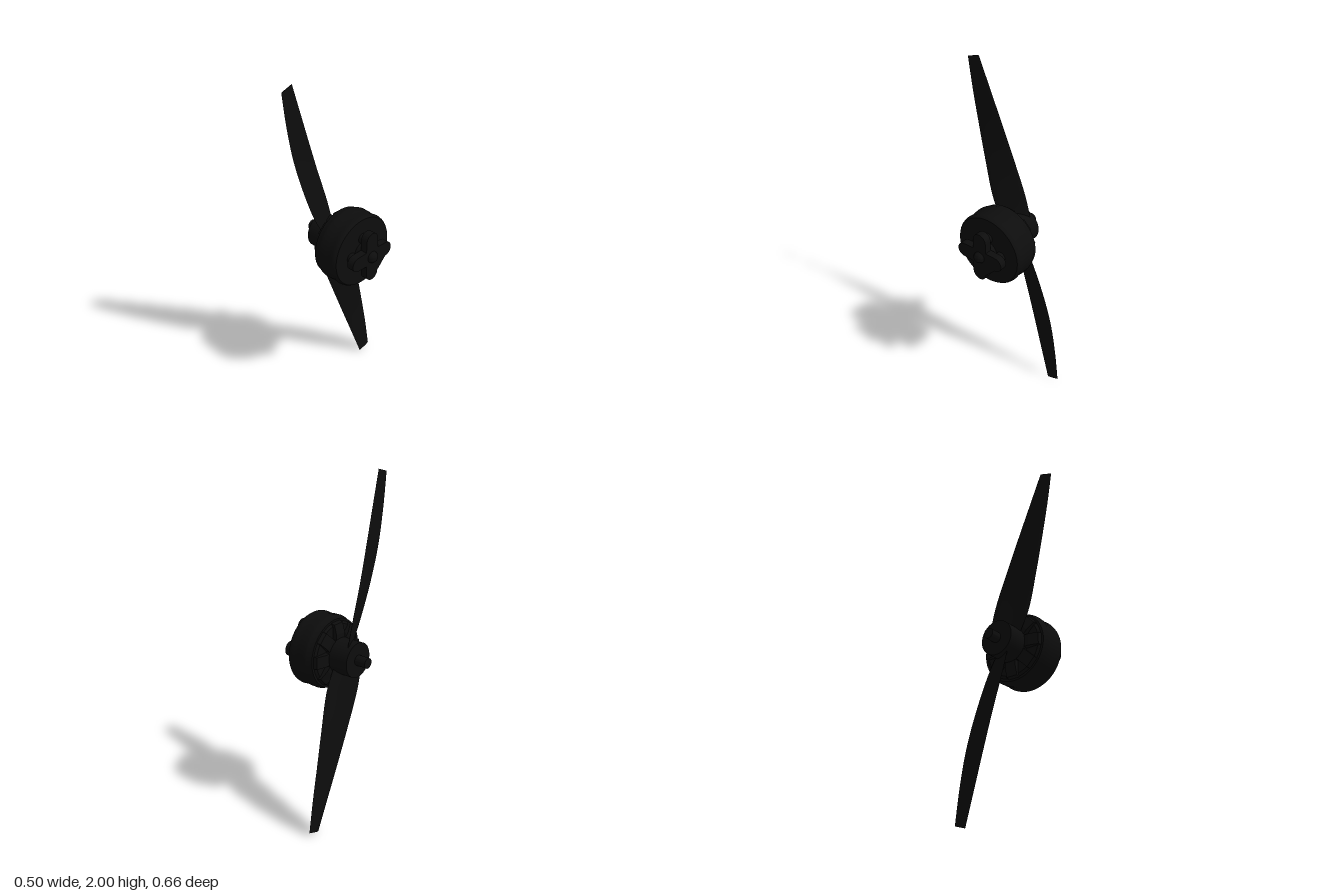
import * as THREE from 'three';
import { toCreasedNormals } from 'three/addons/utils/BufferGeometryUtils.js';

const black = new THREE.MeshStandardMaterial({ color: 0x0d0d0d });
black.name = 'matte black';

function add(parent, name, geometry) {
  const mesh = new THREE.Mesh(geometry, black);
  mesh.name = name;
  parent.add(mesh);
  return mesh;
}

// Solid of revolution about x, from [x, radius] pairs
function turned(profile, segments = 64) {
  const g = new THREE.LatheGeometry(profile.map(([x, r]) => new THREE.Vector2(r, x)), segments);
  g.rotateZ(-Math.PI / 2);
  return toCreasedNormals(g, 0.6);
}

// Twisted, tapering blade lofted between its two edge curves
function bladeGeometry() {
  const curve = pts => new THREE.CatmullRomCurve3(pts.map(p => new THREE.Vector3(...p)));
  const trailing = curve([[-0.155, 0.03, -0.07], [-0.156, 0.2, -0.025], [-0.148, 0.4, 0.045],
    [-0.135, 0.6, 0.115], [-0.12, 0.8, 0.185], [-0.105, 1.0, 0.255]]);
  const leading = curve([[-0.073, 0.03, 0.07], [-0.077, 0.165, 0.142], [-0.096, 0.39, 0.214],
    [-0.106, 0.58, 0.262], [-0.106, 0.78, 0.3], [-0.103, 0.977, 0.328]]);
  const span = new THREE.Vector3(0, 0.96, 0.28);
  const rows = 30, ring = 16, pos = [], index = [];
  for (let i = 0; i <= rows; i++) {
    const s = i / rows;
    const a = trailing.getPoint(s), b = leading.getPoint(s);
    const chord = b.clone().sub(a);
    const mid = a.add(b).multiplyScalar(0.5);
    const normal = chord.clone().cross(span).normalize();
    const half = THREE.MathUtils.lerp(0.009, 0.002, s);
    for (let j = 0; j < ring; j++) {
      const t = j / ring * Math.PI * 2;
      const p = mid.clone().addScaledVector(chord, Math.cos(t) / 2).addScaledVector(normal, Math.sin(t) * half);
      pos.push(p.x, p.y, p.z);
    }
  }
  for (let i = 0; i < rows; i++) for (let j = 0; j < ring; j++) {
    const k = (j + 1) % ring, o = i * ring, n = o + ring;
    index.push(o + j, n + j, o + k, o + k, n + j, n + k);
  }
  // Tip cap
  const tip = rows * ring;
  for (let j = 1; j < ring - 1; j++) index.push(tip, tip + j + 1, tip + j);
  const g = new THREE.BufferGeometry();
  g.setAttribute('position', new THREE.Float32BufferAttribute(pos, 3));
  g.setIndex(index);
  return toCreasedNormals(g, 0.8);
}

export function createModel() {
  const model = new THREE.Group();
  model.name = 'propellerMotor';
  const unit = new THREE.Group();
  unit.name = 'motorAssembly';
  unit.position.y = 1;
  model.add(unit);

  // Propeller
  add(unit, 'shaft', turned([[-0.25, 0], [-0.25, 0.03], [-0.17, 0.03]], 32));
  add(unit, 'propellerHub', turned([[-0.18, 0], [-0.18, 0.101], [-0.058, 0.101], [-0.02, 0.101]], 48));
  const blade = bladeGeometry();
  for (let i = 0; i < 2; i++) add(unit, 'blade', blade).rotation.x = i * Math.PI;

  // Motor bell with softly rippled side
  add(unit, 'motorBell', turned([[-0.03, 0], [-0.03, 0.172], [-0.02, 0.186], [-0.02, 0.2], [0, 0.204],
    [0.012, 0.21], [0.025, 0.213], [0.04, 0.211], [0.055, 0.212], [0.07, 0.21], [0.105, 0.21],
    [0.12, 0.213], [0.135, 0.21], [0.145, 0.203], [0.145, 0]]));

  // Raised spokes between the vents on the bell's face
  const outline = new THREE.Shape([[-0.018, 0.07], [-0.018, 0.188], [-0.042, 0.181], [-0.058, 0.125],
    [-0.058, 0.07]].map(p => new THREE.Vector2(...p)));
  const spoke = new THREE.ExtrudeGeometry(outline, { depth: 0.07, bevelEnabled: false });
  spoke.translate(0, 0, -0.035);
  for (let i = 0; i < 8; i++) add(unit, 'bellSpoke', spoke).rotation.x = i * Math.PI / 4;

  // Cross-shaped mount standing on four posts
  const cross = new THREE.Shape();
  for (let i = 0; i < 4; i++) {
    const a = i * Math.PI / 2, c = Math.cos(a), s = Math.sin(a);
    const corner = [0.045 * (c + s), 0.045 * (s - c)];
    if (i === 0) cross.moveTo(...corner); else cross.lineTo(...corner);
    cross.absarc(0.107 * c, 0.107 * s, 0.043, a - Math.PI / 2, a + Math.PI / 2, false);
  }
  cross.closePath();
  const mount = new THREE.ExtrudeGeometry(cross, { depth: 0.043, bevelEnabled: false, curveSegments: 16 });
  mount.rotateY(Math.PI / 2);
  mount.translate(0.177, 0, 0);
  add(unit, 'crossMount', toCreasedNormals(mount, 0.6));
  const post = new THREE.CylinderGeometry(0.03, 0.03, 0.05, 20);
  post.rotateZ(Math.PI / 2);
  for (let i = 0; i < 4; i++) {
    const a = i * Math.PI / 2;
    add(unit, 'mountPost', post).position.set(0.16, Math.cos(a) * 0.088, Math.sin(a) * 0.088);
  }
  add(unit, 'mountCore', turned([[0.14, 0.06], [0.18, 0.06]], 32));

  // Rounded rear cap
  const cap = [[0.14, 0.034]];
  for (let i = 0; i <= 8; i++) {
    const a = i / 8 * Math.PI / 2;
    cap.push([0.218 + 0.032 * Math.sin(a), 0.034 * Math.cos(a)]);
  }
  add(unit, 'rearCap', turned(cap, 32));
  return model;
}
